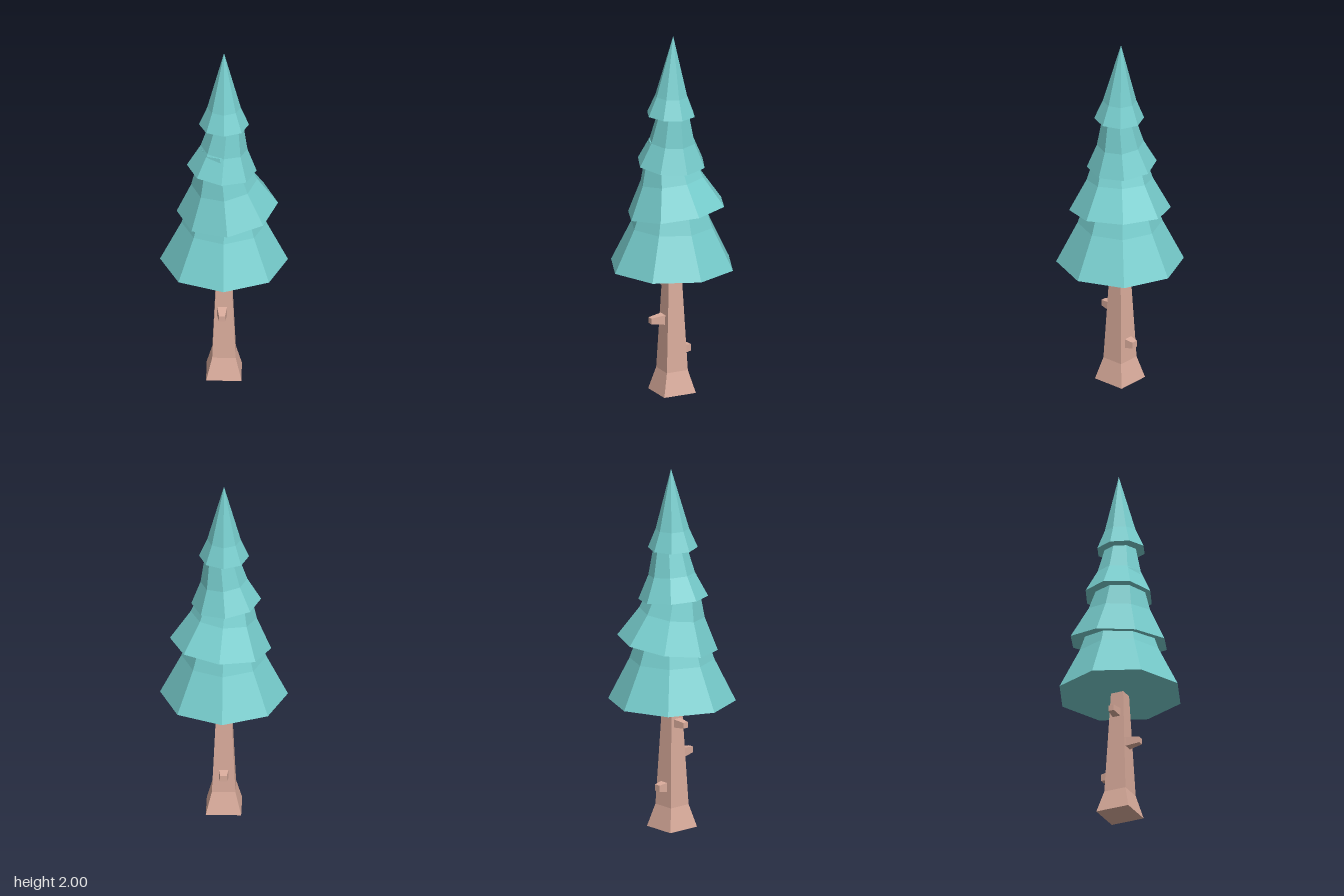
import * as THREE from 'three';

const needles = new THREE.MeshStandardMaterial({ color: 0x76cccc, flatShading: true });
const bark = new THREE.MeshStandardMaterial({ color: 0xd9ab9b, flatShading: true });
const up = new THREE.Vector3(0, 1, 0);

// Closed faceted solid from a [radius, height] profile, listed bottom to top
function turned(name, profile, sides, phiStart, material) {
  const points = profile.map(([r, y]) => new THREE.Vector2(r, y));
  const geometry = new THREE.LatheGeometry(points, sides, phiStart).toNonIndexed();
  geometry.computeVertexNormals();
  const mesh = new THREE.Mesh(geometry, material);
  mesh.name = name;
  return mesh;
}

// Square-section solid; the profile gives half widths
function square(name, profile) {
  const corners = profile.map(([w, y]) => [w * Math.SQRT2, y]);
  return turned(name, corners, 4, Math.PI / 4, bark);
}

export function createModel() {
  const tree = new THREE.Group();
  tree.name = 'pineTree';

  // Tapered trunk with a flared foot
  tree.add(square('trunk', [[0, 0], [0.095, 0], [0.063, 0.125], [0.036, 0.72], [0, 0.72]]));

  // Cut branch stubs: root position, outward direction, length, root and tip half widths
  const stubs = [
    ['leftStub', [-0.03, 0.588, 0], [-1, 0, 0], 0.08, 0.024, 0.016],
    ['frontStub', [-0.01, 0.41, 0.04], [0, 0, 1], 0.088, 0.028, 0.016],
    ['backStub', [0, 0.233, -0.045], [0, 0, -1], 0.06, 0.027, 0.018],
  ];
  for (const [name, root, dir, length, wide, narrow] of stubs) {
    const stub = square(name, [[0, 0], [wide, 0], [narrow, length], [0, length]]);
    stub.position.set(...root);
    stub.quaternion.setFromUnitVectors(up, new THREE.Vector3(...dir));
    tree.add(stub);
  }

  // Foliage tiers: base centre, base slope along x and z, skirt profile
  const tiers = [
    ['bottomTier', [0, 0.71, 0], [0, 0],
      [[0, 0], [0.343, 0], [0.228, 0.23], [0.12, 0.54], [0, 0.54]]],
    ['lowerTier', [0.018, 1.028, -0.016], [0.1, -0.1],
      [[0, 0], [0.273, 0], [0.178, 0.17], [0.1, 0.4], [0, 0.4]]],
    ['upperTier', [-0.012, 1.283, -0.002], [-0.095, 0],
      [[0, 0], [0.188, 0], [0.126, 0.13], [0.07, 0.36], [0, 0.36]]],
    ['topTier', [0, 1.56, 0.006], [0, 0.03],
      [[0, 0], [0.134, 0], [0.09, 0.105], [0, 0.44]]],
  ];
  for (const [name, base, [slopeX, slopeZ], profile] of tiers) {
    const tier = turned(name, profile, 8, 0, needles);
    tier.position.set(...base);
    tier.quaternion.setFromUnitVectors(up, new THREE.Vector3(-slopeX, 1, -slopeZ).normalize());
    tree.add(tier);
  }

  return tree;
}
